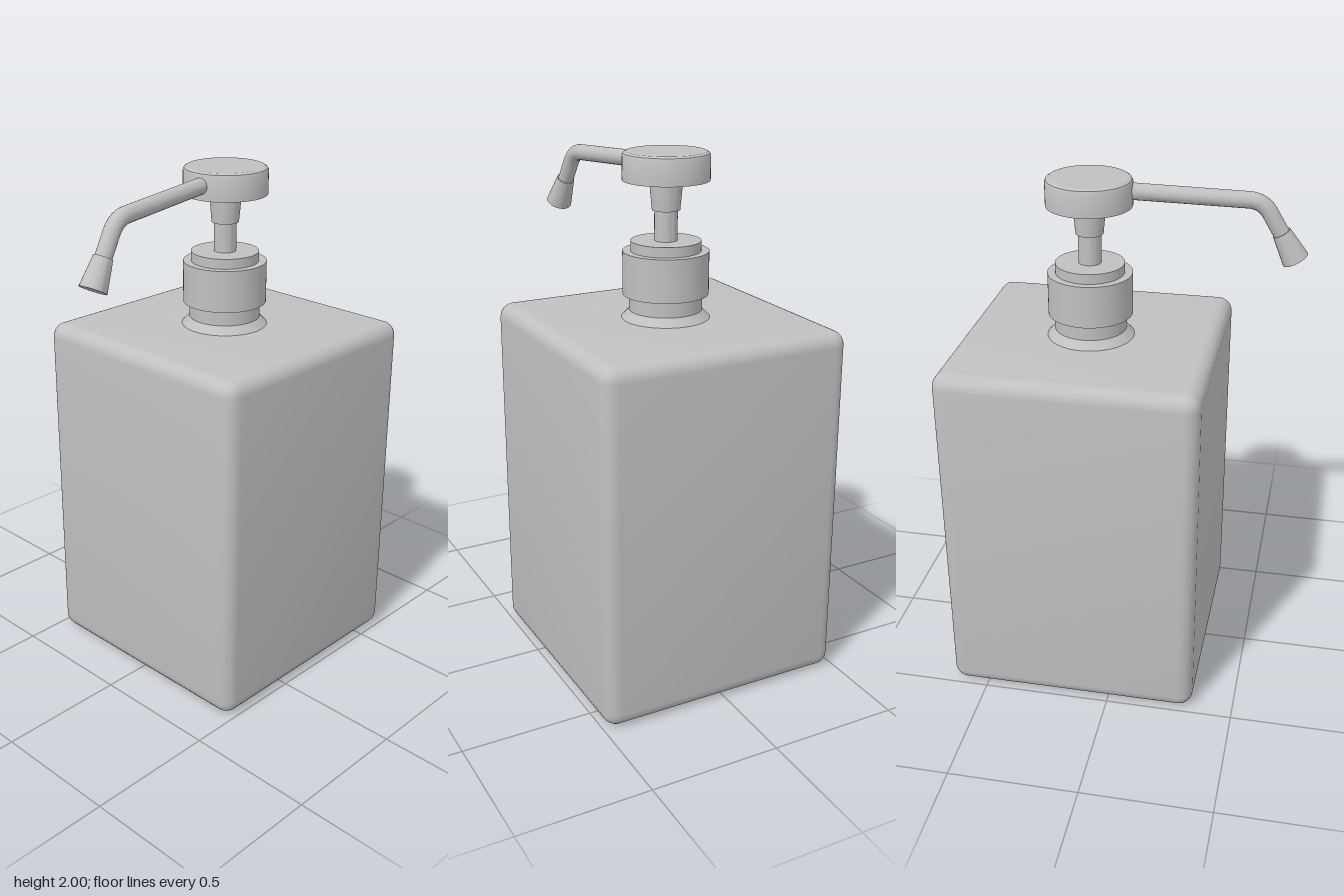
import * as THREE from 'three';
import { toCreasedNormals } from 'three/addons/utils/BufferGeometryUtils.js';

const AXIS_X = 0.153; // bottle and pump axis
const plastic = new THREE.MeshStandardMaterial({ color: 0xc0c0c0 });
plastic.name = 'grey plastic';

function part(name, geometry) {
  const mesh = new THREE.Mesh(toCreasedNormals(geometry, 0.5), plastic);
  mesh.name = name;
  return mesh;
}

// Turned part from [radius, y] pairs, listed from the bottom up the outside
function turned(name, profile) {
  return part(name, new THREE.LatheGeometry(profile.map(([r, y]) => new THREE.Vector2(r, y)), 64));
}

// Rounded-square ring: half width, corner radius, height
function squareRing(half, radius, y, steps = 6) {
  const ring = [];
  for (let corner = 0; corner < 4; corner++) {
    const mid = Math.PI / 4 + corner * Math.PI / 2;
    const cx = Math.sign(Math.cos(mid)) * (half - radius);
    const cz = Math.sign(Math.sin(mid)) * (half - radius);
    for (let i = 0; i <= steps; i++) {
      const a = (corner + i / steps) * Math.PI / 2;
      ring.push([cx + radius * Math.cos(a), y, cz + radius * Math.sin(a)]);
    }
  }
  return ring;
}

// Skin over a list of rings
function loft(rings) {
  const n = rings[0].length, index = [];
  for (let i = 0; i < rings.length - 1; i++) {
    for (let j = 0; j < n; j++) {
      const a = i * n + j, b = i * n + (j + 1) % n;
      index.push(a, a + n, b, b, a + n, b + n);
    }
  }
  const geometry = new THREE.BufferGeometry();
  geometry.setAttribute('position', new THREE.Float32BufferAttribute(rings.flat(2), 3));
  geometry.setIndex(index);
  return geometry;
}

// Square bottle with rounded edges and a square recess underneath
function bottleGeometry() {
  const half = 0.4915, r = 0.055, height = 1.385, recess = 0.273, depth = 0.06, steps = 6;
  const rings = [squareRing(0, 0, depth), squareRing(recess, 0, depth), squareRing(recess, 0, 0)];
  for (const [from, centreY] of [[-Math.PI / 2, r], [0, height - r]]) {
    for (let i = 0; i <= steps; i++) {
      const a = from + (i / steps) * Math.PI / 2;
      const c = Math.max(r * Math.cos(a), 0.0005);
      rings.push(squareRing(half - r + c, c, centreY + r * Math.sin(a)));
    }
  }
  rings.push(squareRing(0, 0, height));
  return loft(rings);
}

// Bent spout with a flared nozzle, turned slightly towards the front
function makeSpout() {
  const spout = new THREE.Group();
  spout.name = 'spout';
  const v = (x, y) => new THREE.Vector3(x, y, 0);
  const path = new THREE.CurvePath();
  path.add(new THREE.LineCurve3(v(-0.145, 1.95), v(-0.58, 1.926)));
  path.add(new THREE.QuadraticBezierCurve3(v(-0.58, 1.926), v(-0.63, 1.923), v(-0.657, 1.88)));
  path.add(new THREE.LineCurve3(v(-0.657, 1.88), v(-0.71, 1.79)));
  spout.add(part('spoutTube', new THREE.TubeGeometry(path, 60, 0.031, 24)));

  const start = v(-0.703, 1.805), end = v(-0.76, 1.703);
  const axis = start.clone().sub(end);
  const nozzle = part('nozzle', new THREE.CylinderGeometry(0.035, 0.051, axis.length(), 32));
  nozzle.position.copy(start).add(end).multiplyScalar(0.5);
  nozzle.quaternion.setFromUnitVectors(new THREE.Vector3(0, 1, 0), axis.normalize());
  spout.add(nozzle);
  spout.rotation.y = 0.128;
  return spout;
}

export function createModel() {
  const model = new THREE.Group();
  model.name = 'pumpBottle';
  const body = new THREE.Group();
  body.name = 'bottleAndPump';
  body.position.x = AXIS_X;
  model.add(body);

  body.add(
    part('bottle', bottleGeometry()),
    turned('neck', [[0.168, 1.383], [0.137, 1.415], [0.137, 1.48]]),
    turned('screwCap', [[0, 1.475], [0.161, 1.475], [0.161, 1.637], [0.131, 1.637], [0.131, 1.675], [0, 1.675]]),
    turned('stem', [[0.043, 1.67], [0.043, 1.8]]),
    turned('sleeve', [[0, 1.787], [0.052, 1.787], [0.062, 1.895], [0.062, 1.98]]),
    // Hollow pressing head
    turned('pumpHead', [[0, 1.975], [0.145, 1.975], [0.145, 1.896], [0.161, 1.896], [0.161, 1.985],
      [0.157, 1.994], [0.147, 2], [0, 2]]),
    makeSpout()
  );
  return model;
}
